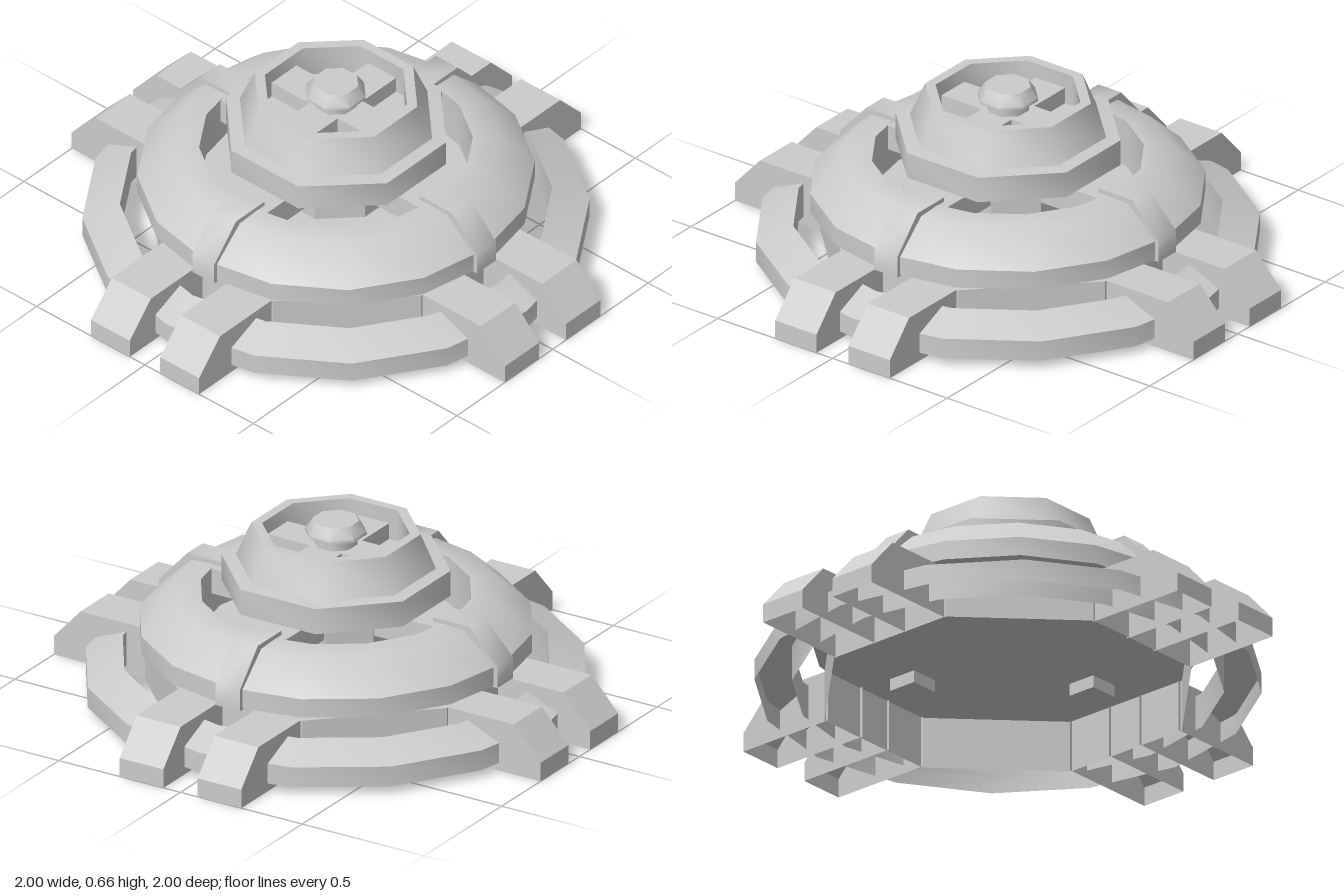
import * as THREE from 'three';
import { toCreasedNormals } from 'three/addons/utils/BufferGeometryUtils.js';

export function createModel() {
  const model = new THREE.Group();
  const grey = new THREE.MeshStandardMaterial({ color: 0xcccccc, side: THREE.DoubleSide });

  const add = (name, geometry, parent = model) => {
    const mesh = new THREE.Mesh(geometry, grey);
    mesh.name = name;
    parent.add(mesh);
    return mesh;
  };

  // Turned part with 16 sides, corners on the axes
  const round = (name, points, crease) => add(name, toCreasedNormals(
    new THREE.LatheGeometry(points.map(p => new THREE.Vector2(...p)), 16), crease));

  // Turned part with 8 sides facing the axes; radii are given to the flats
  const octagon = (name, points, crease = 0.3) => add(name, toCreasedNormals(
    new THREE.LatheGeometry(points.map(([r, y]) => new THREE.Vector2(r / Math.cos(Math.PI / 8), y)),
      8, Math.PI / 8), crease));

  const outline = points => new THREE.Shape(points.map(p => new THREE.Vector2(...p)));

  const box = (name, w, h, d, x, y, parent) => {
    const mesh = add(name, new THREE.BoxGeometry(w, h, d), parent);
    mesh.position.set(x, y, 0);
    return mesh;
  };

  // Hollow base, a thin shell open underneath
  octagon('base', [[0.62, 0], [0.62, 0.19], [0, 0.19]]);

  // Lower ring, an open shell standing off the base
  round('lowerRing', [[0.88, 0.03], [0.88, 0.105], [0.75, 0.16], [0.75, 0.03]], 0.45);

  // Neck between base and dome
  octagon('neck', [[0.35, 0.19], [0.35, 0.225], [0, 0.225]]);

  // Dome with a deep well in the middle
  round('dome', [[0, 0.21], [0.69, 0.21], [0.69, 0.28], [0.57, 0.39],
    [0.475, 0.395], [0.475, 0.22], [0, 0.22]], 0.75);

  // Turret with a sunken top, standing on a narrow stem
  octagon('turret', [[0, 0.4], [0.372, 0.4], [0.372, 0.495], [0.325, 0.5], [0.275, 0.625],
    [0.24, 0.625], [0.24, 0.51], [0, 0.51]], 0.8);
  octagon('turretStem', [[0.21, 0.22], [0.21, 0.4]]);

  // Hub in the middle of the turret
  octagon('hub', [[0.07, 0.51], [0.07, 0.6], [0.1, 0.61], [0.1, 0.62], [0.075, 0.66], [0, 0.66]], 0.8);

  // Leg side profile and the bent top strip that covers it
  const cheek = new THREE.ShapeGeometry(
    outline([[0.61, 0], [1, 0], [1, 0.07], [0.89, 0.19], [0.61, 0.19]]));
  const bends = [[0.61, 0.19], [0.89, 0.19], [1, 0.07], [1, 0]];
  const strip = new THREE.PlaneGeometry(1, 0.18, 3, 1);
  const pos = strip.attributes.position;
  for (let i = 0; i < pos.count; i++) pos.setXYZ(i, ...bends[i % 4], -pos.getY(i));
  const cover = toCreasedNormals(strip, 0.3);

  // Bent strap over the dome
  const strap = new THREE.ExtrudeGeometry(outline([[0.43, 0.33], [0.43, 0.41], [0.58, 0.41],
    [0.695, 0.285], [0.695, 0.205], [0.6, 0.205]]), { depth: 0.1, bevelEnabled: false });
  strap.translate(0, 0, -0.05);
  const softStrap = toCreasedNormals(strap, 0.9);

  // Parts repeated on the four sides
  for (let i = 0; i < 4; i++) {
    const side = new THREE.Group();
    side.name = 'side' + (i + 1);
    side.rotation.y = i * Math.PI / 2;
    model.add(side);

    // Pair of hollow legs, open underneath
    for (const z of [-0.16, 0.16]) {
      add('legCover', cover, side).position.z = z;
      for (const edge of [-0.09, 0.09]) add('legCheek', cheek, side).position.z = z + edge;
    }

    add('strap', softStrap, side);

    // Bridge across the well, spacer block and turret spoke
    box('wellBridge', 0.3, 0.093, 0.17, 0.33, 0.347, side);
    box('spacer', 0.11, 0.07, 0.11, 0.44, 0.18, side);
    box('turretSpoke', 0.2, 0.06, 0.13, 0.145, 0.54, side);
  }
  return model;
}
